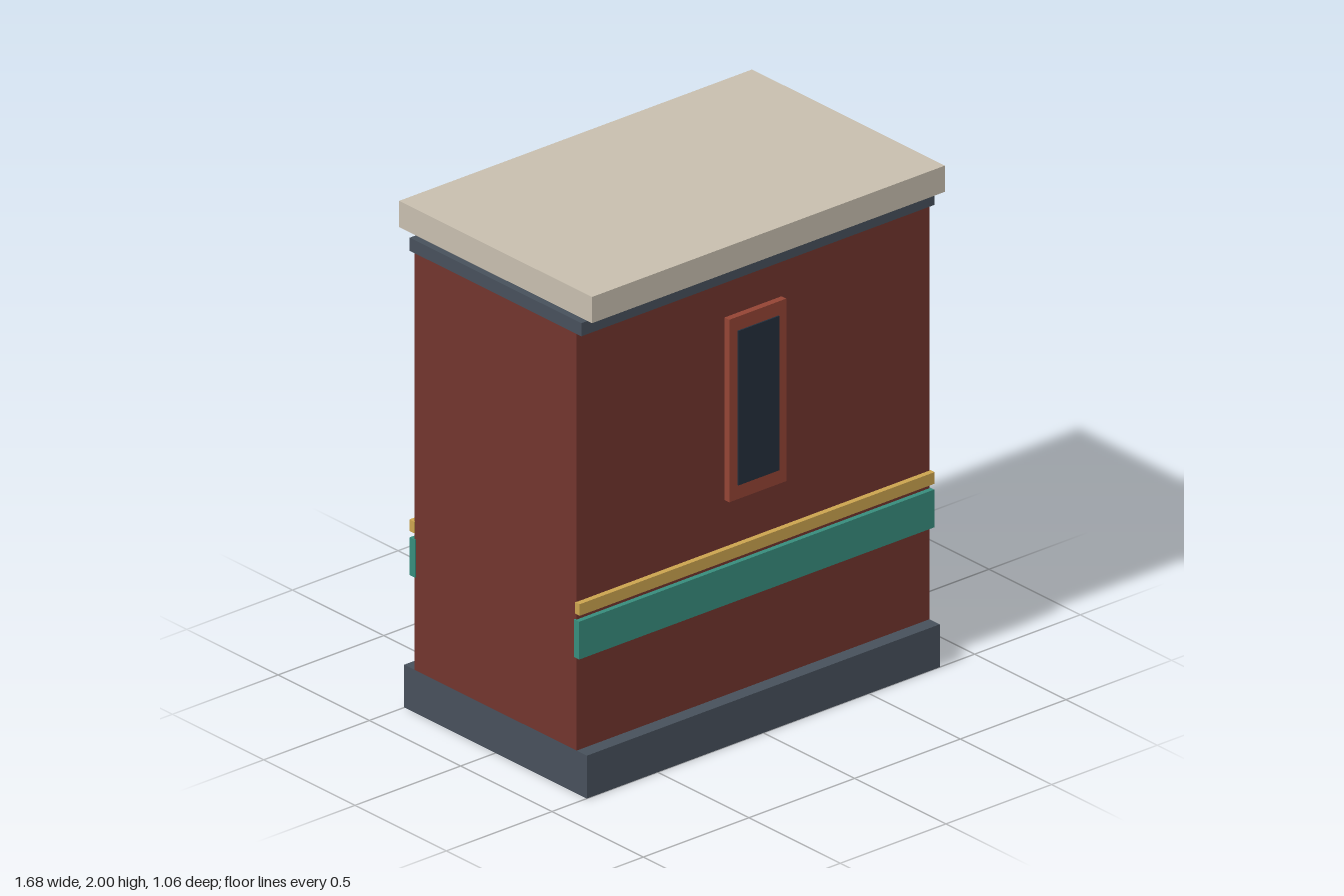
import * as THREE from 'three';

const mat = (name, color) => {
  const m = new THREE.MeshStandardMaterial({ color });
  m.name = name;
  return m;
};

export function createModel() {
  const brick = mat('brick red', 0x71342d);
  const slate = mat('slate grey', 0x47505b);
  const stone = mat('pale stone', 0xc7beae);
  const teal = mat('teal', 0x378c7c);
  const gold = mat('gold', 0xcaa34e);
  const frameRed = mat('frame red', 0x934434);
  const glass = mat('dark glass', 0x232e3b);

  const model = new THREE.Group();
  model.name = 'building';

  // Box centred on x, given its width and its y and z ranges
  const box = (name, material, width, y0, y1, z0, z1, parent = model) => {
    const mesh = new THREE.Mesh(new THREE.BoxGeometry(width, y1 - y0, z1 - z0), material);
    mesh.name = name;
    mesh.position.set(0, (y0 + y1) / 2, (z0 + z1) / 2);
    parent.add(mesh);
  };

  // Stacked main volumes, with a small shadow gap below the roof slab
  box('plinth', slate, 1.67, 0, 0.17, -0.5, 0.5);
  box('walls', brick, 1.67, 0.17, 1.823, -0.444, 0.444);
  box('cornice', slate, 1.67, 1.823, 1.875, -0.47, 0.47);
  box('roofSlab', stone, 1.67, 1.896, 2, -0.528, 0.528);

  // Matching bands and window on the front and back
  for (const [name, turn] of [['frontFacade', 0], ['backFacade', Math.PI]]) {
    const facade = new THREE.Group();
    facade.name = name;
    facade.rotation.y = turn;
    box('lowerBand', teal, 1.68, 0.54, 0.69, 0.436, 0.464, facade);
    box('upperBand', gold, 1.68, 0.714, 0.76, 0.441, 0.466, facade);
    box('windowFrame', frameRed, 0.27, 0.946, 1.67, 0.444, 0.47, facade);
    box('windowPane', glass, 0.194, 1.003, 1.615, 0.469, 0.476, facade);
    model.add(facade);
  }
  return model;
}
